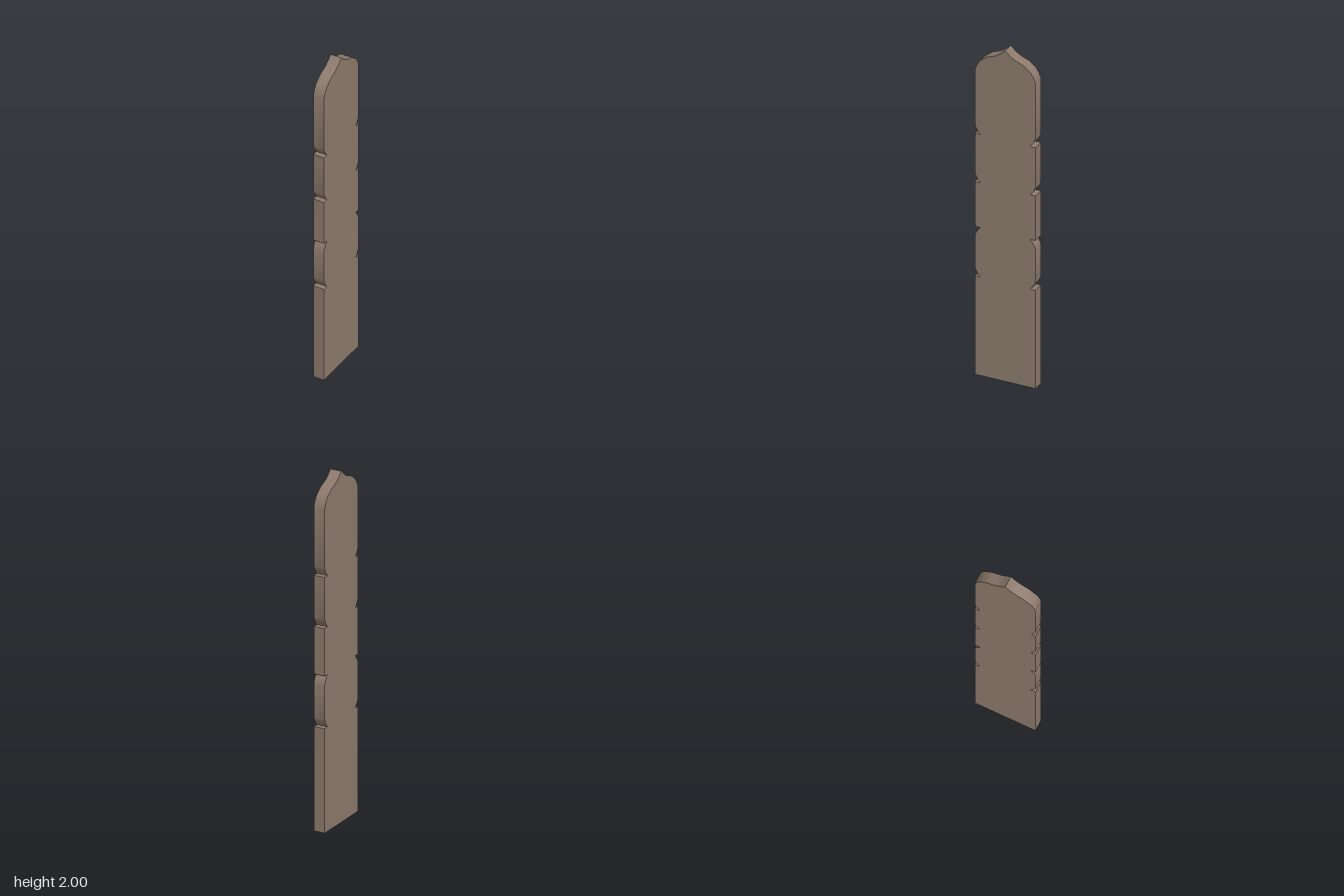
import * as THREE from 'three';
import { toCreasedNormals } from 'three/addons/utils/BufferGeometryUtils.js';

const THICKNESS = 0.066;
const HALF = 0.178;   // half width of the board
const NECK = 0.147;   // half width at the bottom of a notch

// Notch with a flat ledge below and a rounded shoulder above
const notchUp = (y) => [[HALF, y], [NECK, y], [0.16, y + 0.016], [0.171, y + 0.034], [HALF, y + 0.053]];
// The same notch turned over: rounded shoulder below, flat ledge above
const notchDown = (y) => [[HALF, y - 0.053], [0.171, y - 0.034], [0.16, y - 0.016], [NECK, y], [HALF, y]];

export function createModel() {
  const wood = new THREE.MeshStandardMaterial({ color: 0x8c7a6c });
  wood.name = 'weatheredWood';

  // One edge of the board from the foot to the pointed tip
  const edge = [
    [HALF, 0],
    ...notchUp(0.595),
    ...notchDown(0.895),
    ...notchUp(1.165),
    ...notchUp(1.457),
    [HALF, 1.845], [0.166, 1.875], [0.15, 1.902], [0.107, 1.935],
    [0.075, 1.947], [0.05, 1.958], [0.025, 1.977], [0, 2],
  ];
  // Mirror the edge, leaving out the shared tip
  const mirrored = edge.slice(0, -1).reverse().map(([x, y]) => [-x, y]);
  const outline = [...edge, ...mirrored].map(([x, y]) => new THREE.Vector2(x, y));

  // Cut the outline from a thin board whose broad faces look left and right
  const board = new THREE.ExtrudeGeometry(new THREE.Shape(outline), { depth: THICKNESS, bevelEnabled: false });
  board.translate(0, 0, -THICKNESS / 2);
  board.rotateY(Math.PI / 2);

  const plank = new THREE.Mesh(toCreasedNormals(board, THREE.MathUtils.degToRad(35)), wood);
  plank.name = 'carvedPlank';

  const group = new THREE.Group();
  group.name = 'woodenMemorialBoard';
  group.add(plank);
  return group;
}
